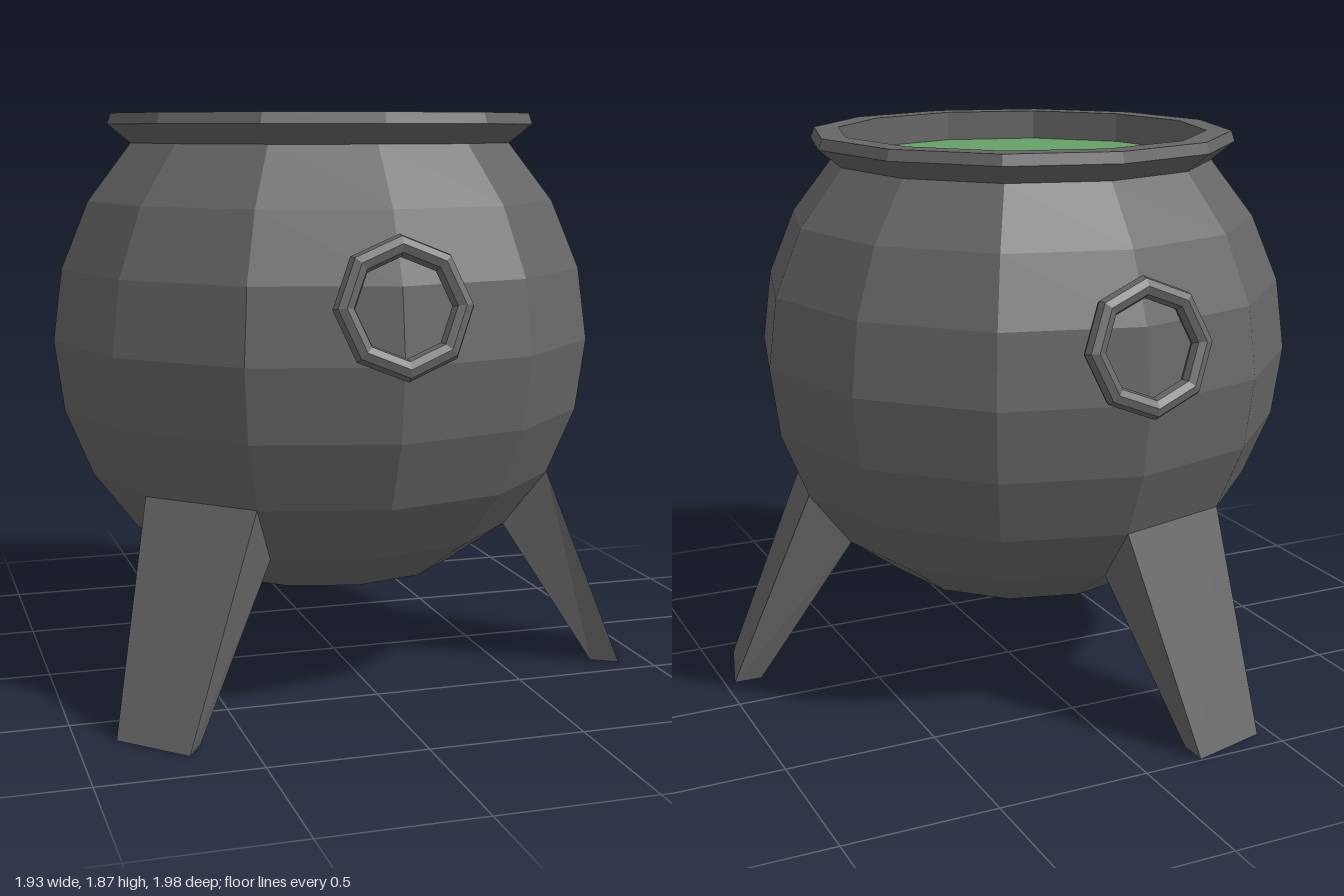
import * as THREE from 'three';

const SIDES = 12;
const R = 0.9;          // belly radius
const BELLY_Y = 1.138;  // height of the widest ring
const rad = THREE.MathUtils.degToRad;

const iron = new THREE.MeshStandardMaterial({ color: 0x666666, flatShading: true });
const brew = new THREE.MeshStandardMaterial({ color: 0x66a066, flatShading: true });

function addMesh(parent, name, geometry, material) {
  const mesh = new THREE.Mesh(geometry, material);
  mesh.name = name;
  parent.add(mesh);
  return mesh;
}

// Faceted round belly, flared lip and inner wall in one profile
function potGeometry() {
  const points = [new THREE.Vector2(0, 0.367), new THREE.Vector2(0.45, 0.367)];
  for (let lat = -45; lat <= 45; lat += 15) {
    points.push(new THREE.Vector2(R * Math.cos(rad(lat)), BELLY_Y + R * Math.sin(rad(lat))));
  }
  for (const [r, y] of [[0.712, 1.835], [0.7, 1.87], [0.617, 1.87], [0.617, 1.76]]) {
    points.push(new THREE.Vector2(r, y));
  }
  return new THREE.LatheGeometry(points, SIDES);
}

// Tapered leg growing out of one belly facet; local +z points outward
function legGeometry() {
  // [half width, height, distance from the axis]
  const corners = {
    topOuter: [0.202, 0.69, 0.754],
    topInner: [0.165, 0.502, 0.614],
    footOuter: [0.132, 0, 1.028],
    footInner: [0.108, 0, 0.935],
  };
  const geometry = new THREE.BoxGeometry(1, 1, 1);
  const pos = geometry.attributes.position;
  for (let i = 0; i < pos.count; i++) {
    const key = (pos.getY(i) > 0 ? 'top' : 'foot') + (pos.getZ(i) > 0 ? 'Outer' : 'Inner');
    const [w, y, z] = corners[key];
    pos.setXYZ(i, Math.sign(pos.getX(i)) * w, y, z);
  }
  geometry.computeVertexNormals();
  return geometry;
}

export function createModel() {
  const model = new THREE.Group();
  model.name = 'cauldron';

  addMesh(model, 'pot', potGeometry(), iron);

  // Liquid surface just below the rim
  const liquid = addMesh(model, 'liquid', new THREE.CircleGeometry(0.617, SIDES), brew);
  liquid.rotation.x = -Math.PI / 2;
  liquid.position.y = 1.77;

  // Three splayed legs
  const leg = legGeometry();
  [75, -45, -165].forEach((angle, i) => {
    addMesh(model, `leg${i + 1}`, leg, iron).rotation.y = rad(angle);
  });

  // Ring handles leaning on the belly, front and back
  const ring = new THREE.TorusGeometry(0.182, 0.034, 8, 8);
  for (const side of [1, -1]) {
    const handle = addMesh(model, side > 0 ? 'frontHandle' : 'backHandle', ring, iron);
    handle.position.set(0, 1.31, side * 0.882);
    handle.rotation.x = -side * rad(12.5);
  }

  // The pot sits slightly off the centre of the legs' footprint
  for (const part of model.children) {
    part.position.x -= 0.06;
    part.position.z += 0.033;
  }
  return model;
}
